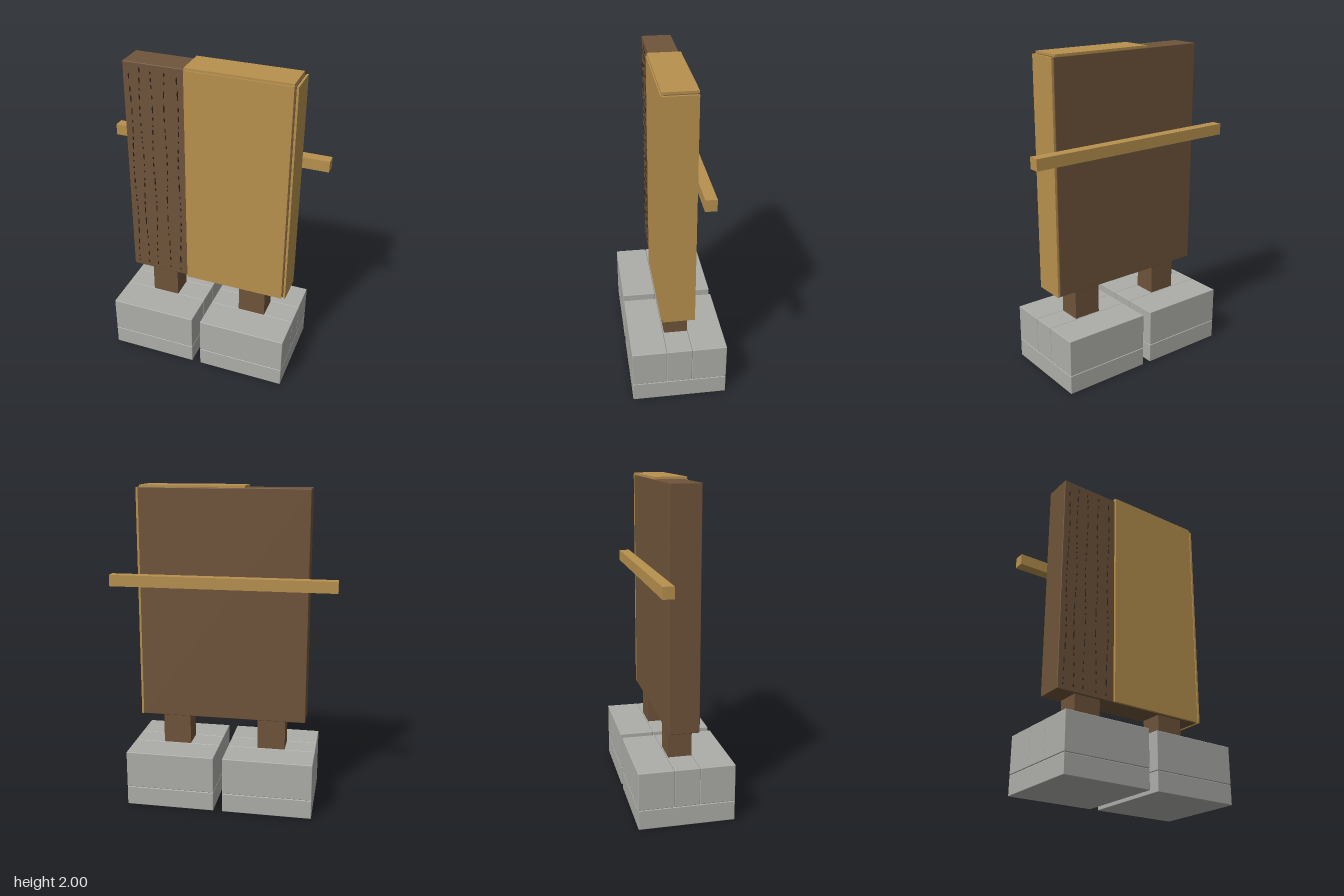
import * as THREE from 'three';
import { mergeGeometries } from 'three/addons/utils/BufferGeometryUtils.js';
import { RoundedBoxGeometry } from 'three/addons/geometries/RoundedBoxGeometry.js';

const material = (name, color) => {
  const m = new THREE.MeshStandardMaterial({ color });
  m.name = name;
  return m;
};

// Box given by its lower and upper limits on each axis, with an optional softened edge
function box(name, mat, [x0, x1], [y0, y1], [z0, z1], bevel = 0) {
  const size = [x1 - x0, y1 - y0, z1 - z0];
  const geo = bevel ? new RoundedBoxGeometry(...size, 2, bevel) : new THREE.BoxGeometry(...size);
  const mesh = new THREE.Mesh(geo, mat);
  mesh.name = name;
  mesh.position.set((x0 + x1) / 2, (y0 + y1) / 2, (z0 + z1) / 2);
  return mesh;
}

// Small repeatable random source
function seeded(seed) {
  return () => (seed = (seed * 16807) % 2147483647) / 2147483647;
}

// One broken, slightly wandering vertical grain line made of slim flecks
function grainLine(mat, x, rand) {
  const flecks = [];
  let y = 0.58;
  while (y < 1.93) {
    const length = 0.015 + 0.06 * rand() * rand();
    const fleck = new THREE.SphereGeometry(1, 6, 6);
    fleck.scale(0.0045, length / 2, 0.004);
    fleck.translate(x + 0.005 * Math.sin(y * 9 + x * 40), y + length / 2, 0.088);
    flecks.push(fleck);
    y += length + 0.012 + 0.03 * rand();
  }
  const mesh = new THREE.Mesh(mergeGeometries(flecks), mat);
  mesh.name = 'grainLine';
  return mesh;
}

export function createModel() {
  const model = new THREE.Group();
  model.name = 'boardOnFeet';
  const darkWood = material('dark wood', 0x6f543a);
  const lightWood = material('light wood', 0xb8914e);
  const stone = material('stone', 0xadaea9);
  const grain = material('grain', 0x2e2118);

  // Stone feet with posts
  for (const s of [-1, 1]) {
    const foot = new THREE.Group();
    foot.name = s > 0 ? 'leftFoot' : 'rightFoot';
    const span = (a, b) => (s > 0 ? [a, b] : [-b, -a]);
    const x = span(0.028, 0.586);
    foot.add(box('baseSlab', stone, x, [0, 0.121], [-0.293, 0.293], 0.004));
    for (const z of [[-0.293, -0.079], [-0.077, 0.077], [0.079, 0.293]])
      foot.add(box('upperBlock', stone, x, [0.123, 0.355], z, 0.004));
    foot.add(box('post', darkWood, span(0.218, 0.393), [0.33, 0.56], [-0.073, 0.073]));
    model.add(foot);
  }

  // Dark core board
  model.add(box('coreBoard', darkWood, [-0.52, 0.518], [0.55, 1.985], [-0.095, 0.088], 0.004));

  // Light cladding on the front, top and left side
  model.add(box('frontPanel', lightWood, [-0.132, 0.51], [0.55, 1.985], [0.089, 0.106]));
  model.add(box('topPanel', lightWood, [-0.132, 0.51], [1.986, 2], [-0.1, 0.1]));
  model.add(box('sidePanel', lightWood, [0.521, 0.534], [0.55, 1.985], [-0.097, 0.1]));

  // Crossbar behind the board
  model.add(box('crossbar', lightWood, [-0.696, 0.696], [1.392, 1.462], [-0.174, -0.107]));

  // Grain flecks on the bare part of the front
  const rand = seeded(77);
  for (const x of [-0.48, -0.418, -0.345, -0.262, -0.18]) model.add(grainLine(grain, x, rand));

  return model;
}
